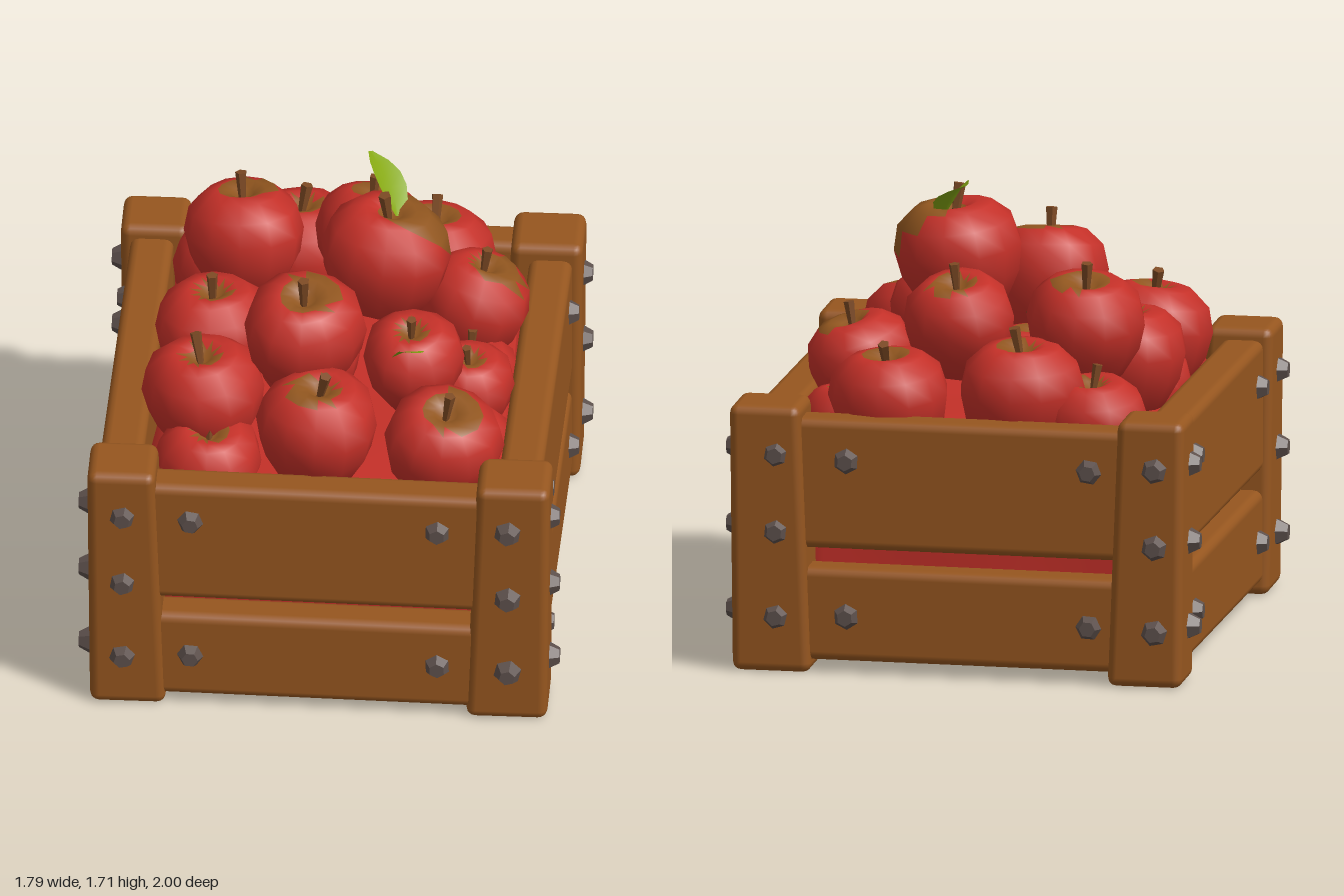
import * as THREE from 'three';
import { mergeVertices } from 'three/addons/utils/BufferGeometryUtils.js';
import { RoundedBoxGeometry } from 'three/addons/geometries/RoundedBoxGeometry.js';

const material = (name, color, extra = {}) => {
  const m = new THREE.MeshStandardMaterial({ color, ...extra });
  m.name = name;
  return m;
};

export function createModel() {
  const wood = material('wood', 0x96561f);
  const iron = material('iron', 0x5e514d, { flatShading: true });
  const red = material('apple red', 0xc43028);
  const russet = material('russet', 0x91561f);
  const bark = material('stem bark', 0x7d4a24, { flatShading: true });
  const green = material('leaf green', 0x86a812, { side: THREE.DoubleSide });

  const model = new THREE.Group();
  model.name = 'appleCrate';
  const add = (parent, name, geometry, mat) => {
    const mesh = new THREE.Mesh(geometry, mat);
    mesh.name = name;
    parent.add(mesh);
    return mesh;
  };
  const warp = (geometry, rule) => {
    const p = geometry.attributes.position, v = new THREE.Vector3();
    for (let i = 0; i < p.count; i++) {
      rule(v.fromBufferAttribute(p, i));
      p.setXYZ(i, v.x, v.y, v.z);
    }
    return geometry;
  };

  // Timber: rounded boards between two corners, slightly crooked
  const timber = (name, [x0, y0, z0], [x1, y1, z1], rule) => {
    const g = new RoundedBoxGeometry(x1 - x0, y1 - y0, z1 - z0, 2, 0.035);
    g.translate((x0 + x1) / 2, (y0 + y1) / 2, (z0 + z1) / 2);
    return add(model, name, warp(g, rule), wood);
  };

  // Corner posts, a little wider at the foot
  const posts = [
    ['backRightPost', -0.84, -0.59, -0.97, -0.73],
    ['frontRightPost', -0.86, -0.61, 0.69, 0.94],
    ['backLeftPost', 0.6, 0.865, -0.95, -0.69],
    ['frontLeftPost', 0.575, 0.845, 0.71, 0.96],
  ];
  for (const [name, x0, x1, z0, z1] of posts) {
    timber(name, [x0, 0, z0], [x1, 1, z1], (v) => {
      const foot = 1 - v.y;
      v.x -= Math.sign(v.x) * foot * (Math.abs(v.x) < 0.7 ? 0.04 : 0.01);
      v.z -= Math.sign(v.z) * foot * (Math.abs(v.z) < 0.8 ? 0.02 : 0.005);
    });
  }

  // Two rows of planks on each side
  for (const [row, y0, y1] of [['lower', 0.04, 0.39], ['upper', 0.46, 0.95]]) {
    for (const s of [-1, 1]) {
      timber(row + (s > 0 ? 'Front' : 'Back') + 'Plank',
        [-0.7, y0, s * 0.855 - 0.075], [0.7, y1, s * 0.855 + 0.075],
        (v) => { v.z += 0.02 * v.x; v.y += 0.006 * Math.sin(5 * v.x + s); });
      timber(row + (s > 0 ? 'Left' : 'Right') + 'Plank',
        [s * 0.735 - 0.08, y0, -0.8], [s * 0.735 + 0.08, y1, 0.8],
        (v) => { v.x -= 0.016 * v.z; v.y += 0.006 * Math.sin(4 * v.z + s); });
    }
  }
  timber('floor', [-0.72, 0.05, -0.84], [0.72, 0.13, 0.84], () => {});

  // Faceted iron bolts
  const boltShape = new THREE.CylinderGeometry(0.03, 0.057, 0.05, 6).rotateX(Math.PI / 2);
  const bolts = new THREE.Group();
  bolts.name = 'bolts';
  model.add(bolts);
  const bolt = (x, y, z, turn) => {
    const m = add(bolts, 'bolt', boltShape, iron);
    m.position.set(x, y, z);
    m.rotation.set(0, turn, 0.4 + 7 * y + 3 * x, 'YXZ');
  };
  for (const s of [-1, 1]) {
    const faceTurn = s > 0 ? 0 : Math.PI, sideTurn = s * Math.PI / 2;
    for (const y of [0.21, 0.53, 0.82]) {
      for (const x of [-0.73, 0.69]) bolt(x, y, s * 0.96 + 0.014 * Math.sign(x) - (s < 0 ? 0.005 : 0), faceTurn);
      for (const z of [0.83, -0.81]) bolt(s * 0.86 - 0.01 * Math.sign(z), y, z, sideTurn);
    }
    for (const y of [0.215, 0.8]) {
      for (const x of [-0.48, 0.43]) bolt(x, y, s * 0.94 + 0.02 * x, faceTurn);
      for (const z of [0.61, -0.57]) bolt(s * 0.825 - 0.016 * z, y, z, sideTurn);
    }
  }

  // Lumpy mass of fruit filling the crate
  const bed = new THREE.BoxGeometry(1.28, 0.72, 1.5, 14, 6, 16);
  for (const key of ['uv', 'normal']) bed.deleteAttribute(key);
  const bedShape = warp(mergeVertices(bed), (v) => {
    const lump = Math.sin(9 * v.x + 1) * Math.sin(8 * v.z) * Math.cos(6 * v.y);
    v.multiplyScalar(1 + 0.03 * lump);
    v.y += 0.49;
  });
  bedShape.computeVertexNormals();
  add(model, 'fruitBed', bedShape, red);

  // Apple: lathed body of unit radius, with a russet patch around the dimple
  const profile = [[0, -0.78], [0.3, -0.92], [0.65, -0.74], [0.92, -0.25], [1, 0.18],
    [0.9, 0.58], [0.62, 0.83], [0.4, 0.88], [0.2, 0.8], [0, 0.62]].map(([x, y]) => new THREE.Vector2(x, y));
  const appleShape = (seed, [px, pz, pr]) => {
    const lathe = new THREE.LatheGeometry(profile, 12);
    for (const key of ['uv', 'normal']) lathe.deleteAttribute(key);
    const g = warp(mergeVertices(lathe), (v) => {
      const a = Math.atan2(v.z, v.x), k = 1 + 0.03 * Math.sin(3 * a + seed) + 0.02 * Math.sin(2 * a + 2 * seed);
      v.x *= k;
      v.z *= k;
    });
    g.computeVertexNormals();
    const p = g.attributes.position, skin = [], patch = [];
    for (let i = 0; i < g.index.count; i += 3) {
      const tri = [0, 1, 2].map((k) => g.index.getX(i + k));
      const mean = (f) => tri.reduce((sum, n) => sum + p[f](n), 0) / 3;
      const inPatch = mean('getY') > 0.3 && Math.hypot(mean('getX') - px, mean('getZ') - pz) < pr;
      (inPatch ? patch : skin).push(...tri);
    }
    g.setIndex([...skin, ...patch]);
    g.addGroup(0, skin.length, 0);
    g.addGroup(skin.length, patch.length, 1);
    return g;
  };
  const stemShape = new THREE.CylinderGeometry(0.1, 0.055, 0.58, 5).translate(0, 0.29, 0);

  // x, y, z, radius, lean x, lean z, russet patch (x, z, radius)
  const apples = [
    [0.18, 1.38, -0.01, 0.24, 0.1, -0.06, [0.42, -0.05, 0.58]],
    [-0.1, 1.24, 0.31, 0.227, 0.02, 0.2, [0.08, -0.05, 0.46]],
    [-0.46, 1.02, 0.41, 0.225, -0.08, 0.06],
    [-0.03, 1.02, 0.61, 0.226, 0.04, 0.04, [-0.1, 0.12, 0.42]],
    [0.43, 0.96, 0.6, 0.218, 0.08, 0.24, [0.1, 0.0, 0.5]],
    [0.3, 1.1, 0.26, 0.19, -0.05, 0.18],
    [0.49, 0.91, 0.13, 0.175, 0.05, 0.12],
    [0.49, 1.02, -0.26, 0.208, 0.28, -0.12, [0.22, 0.1, 0.5]],
    [0.32, 0.96, -0.64, 0.22, 0.05, -0.1, [0, 0, 0.42]],
    [0.1, 1.21, -0.4, 0.21, 0.05, -0.25, [0.05, -0.1, 0.42]],
    [-0.17, 1.0, -0.62, 0.23, 0, -0.1],
    [-0.36, 1.21, -0.37, 0.223, -0.06, -0.18, [0.1, -0.05, 0.44]],
    [-0.45, 1.02, -0.01, 0.222, -0.04, -0.02],
    [-0.44, 0.9, -0.6, 0.2, 0.05, -0.15],
    [-0.43, 0.84, 0.6, 0.2, 0, 0.15],
    [0.48, 0.84, -0.55, 0.19, 0.1, 0],
    [0.5, 0.8, 0.36, 0.17, 0.1, 0],
    [0.48, 0.82, -0.05, 0.19, 0.1, 0],
    [-0.1, 0.95, 0.0, 0.2, 0, 0],
    [-0.46, 0.86, 0.2, 0.19, 0, 0],
  ];
  const up = new THREE.Vector3(0, 1, 0);
  apples.forEach(([x, y, z, r, lx, lz, patch = [0.03, 0.02, 0.3]], i) => {
    const apple = new THREE.Group();
    apple.name = 'apple';
    apple.position.set(x, y, z);
    apple.scale.setScalar(r);
    apple.quaternion.setFromUnitVectors(up, new THREE.Vector3(lx, 1, lz).normalize());
    add(apple, 'appleBody', appleShape(i * 1.7, patch), [red, russet]);
    const stem = add(apple, 'stem', stemShape, bark);
    stem.position.y = 0.6;
    stem.rotation.set(0.2 * Math.cos(i * 2), i, 0.25 * Math.sin(i * 2 + 1));
    model.add(apple);
  });

  // Leaves: folded blades from base to tip, spread along a side direction
  const leaf = (base, tip, side, width) => {
    const a = new THREE.Vector3(...base), along = new THREE.Vector3(...tip).sub(a);
    const dir = along.clone().normalize(), across = new THREE.Vector3(...side);
    across.addScaledVector(dir, -across.dot(dir)).normalize();
    const normal = new THREE.Vector3().crossVectors(across, dir);
    const g = warp(new THREE.PlaneGeometry(1, 1, 2, 5), (v) => {
      const t = v.y + 0.5, u = v.x * width * Math.pow(Math.sin(Math.PI * (0.06 + 0.92 * t)), 0.7);
      const lift = Math.abs(u) * 0.25 + 0.02 * Math.sin(Math.PI * t);
      v.copy(a).addScaledVector(along, t).addScaledVector(across, u).addScaledVector(normal, lift);
    });
    g.computeVertexNormals();
    add(model, 'leaf', g, green);
  };
  leaf([0.23, 1.55, -0.03], [0.11, 1.7, -0.23], [0.6, -0.3, -0.55], 0.14);
  leaf([0.3, 1.23, 0.3], [0.26, 1.27, 0.45], [1, 0.3, 0], 0.13);

  return model;
}
